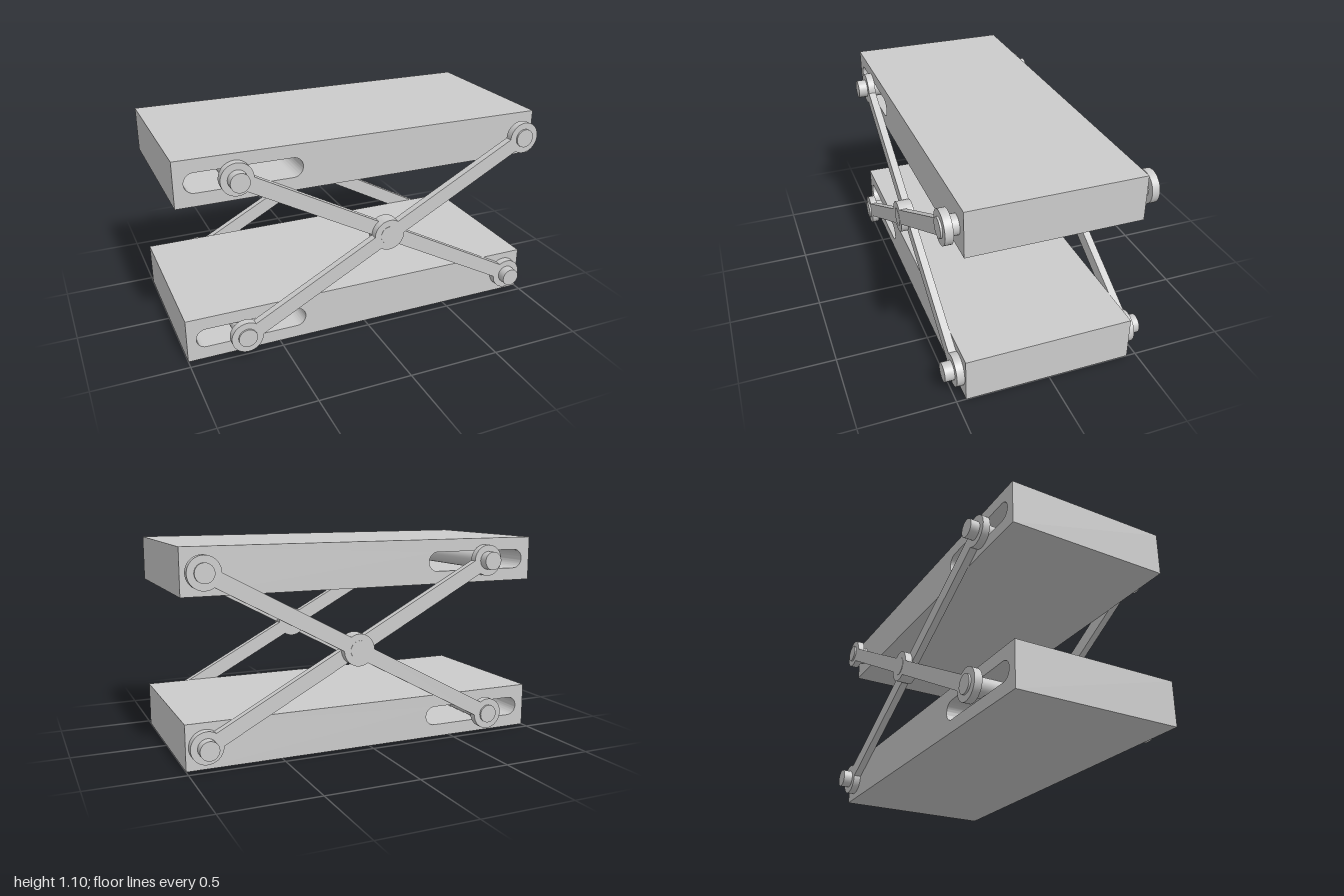
import * as THREE from 'three';
import { toCreasedNormals } from 'three/addons/utils/BufferGeometryUtils.js';

const material = new THREE.MeshStandardMaterial({ color: 0xcccccc });
const HALF_DEPTH = 0.45, ARM = 0.04, PIN_R = 0.05, HUB_R = 0.085;
const LEFT = -0.7, RIGHT = 0.9, LOW = 0.12, HIGH = 0.98;
const MID_X = (LEFT + RIGHT) / 2, MID_Y = (LOW + HIGH) / 2;

function extrude(shape, depth) {
  const geo = new THREE.ExtrudeGeometry(shape, { depth, bevelEnabled: false, curveSegments: 20 });
  return toCreasedNormals(geo.translate(0, 0, -depth / 2), 0.6);
}

function add(group, name, geo, x, y, z) {
  const mesh = new THREE.Mesh(geo, material);
  mesh.name = name;
  mesh.position.set(x, y, z);
  group.add(mesh);
  return mesh;
}

// Thick slab with a rounded slot running through its full depth
function platformGeometry() {
  const s = new THREE.Shape();
  s.moveTo(-1, -0.12).lineTo(1, -0.12).lineTo(1, 0.12).lineTo(-1, 0.12).closePath();
  const slot = new THREE.Path(), r = 0.052;
  slot.absarc(-0.95 + r, 0, r, Math.PI / 2, Math.PI * 1.5, false);
  slot.absarc(-0.35 - r, 0, r, -Math.PI / 2, Math.PI / 2, false);
  slot.closePath();
  s.holes.push(slot);
  return extrude(s, HALF_DEPTH * 2);
}

// Flat link with a round hub at each end and at the middle
function armGeometry() {
  const half = Math.hypot(RIGHT - LEFT, HIGH - LOW) / 2;
  const a = Math.asin(ARM / HUB_R), PI = Math.PI;
  const s = new THREE.Shape();
  s.absarc(-half, 0, HUB_R, a, 2 * PI - a, false);
  s.absarc(0, 0, HUB_R, PI + a, 2 * PI - a, false);
  s.absarc(half, 0, HUB_R, -PI + a, PI - a, false);
  s.absarc(0, 0, HUB_R, a, PI - a, false);
  s.closePath();
  return extrude(s, 0.04);
}

function pinGeometry(length) {
  return new THREE.CylinderGeometry(PIN_R, PIN_R, length, 32).rotateX(Math.PI / 2);
}

export function createModel() {
  const model = new THREE.Group();
  model.name = 'scissorLift';

  // Platforms
  const platform = platformGeometry();
  add(model, 'basePlatform', platform, 0, LOW, 0);
  add(model, 'topPlatform', platform, 0, HIGH, 0);

  // Crossed arms on front and back: falling arm inside, rising arm outside
  const arm = armGeometry();
  const tilt = Math.atan2(HIGH - LOW, RIGHT - LEFT);
  const pivot = pinGeometry(0.082);
  for (const [side, sign] of [['front', 1], ['back', -1]]) {
    add(model, side + 'InnerArm', arm, MID_X, MID_Y, sign * 0.47).rotation.z = -tilt;
    add(model, side + 'OuterArm', arm, MID_X, MID_Y, sign * 0.51).rotation.z = tilt;
    add(model, side + 'CentrePivot', pivot, MID_X, MID_Y, sign * 0.491);
  }

  // Cross pins: sliding in the slots on one end, fixed on the other
  const pin = pinGeometry(1.08);
  for (const [level, y] of [['lower', LOW], ['upper', HIGH]]) {
    add(model, level + 'SlidingPin', pin, LEFT, y, 0);
    add(model, level + 'FixedPin', pin, RIGHT, y, 0);
  }
  return model;
}
